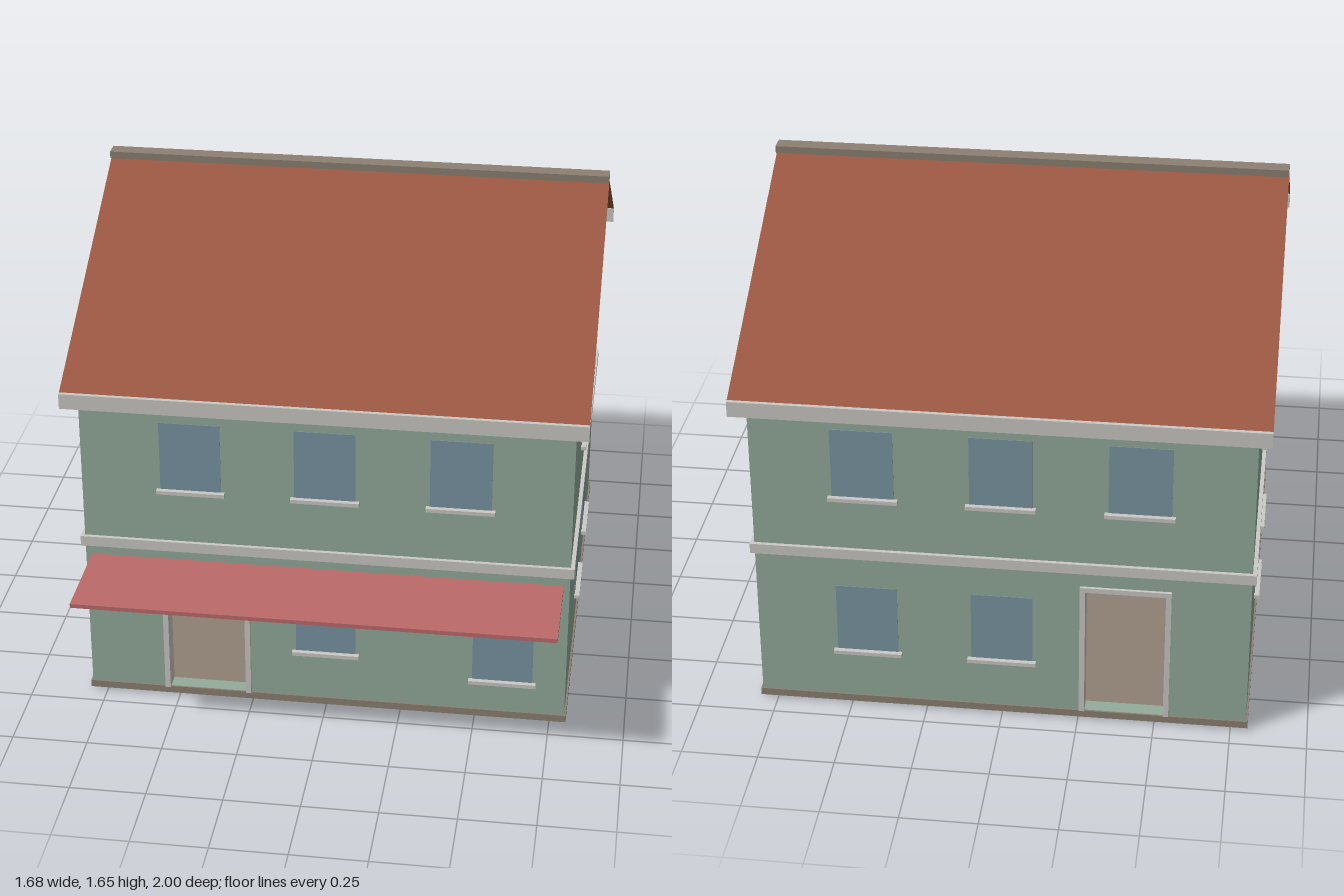
import * as THREE from 'three';

const mat = (name, color, side = THREE.FrontSide) => {
  const m = new THREE.MeshStandardMaterial({ color, side });
  m.name = name;
  return m;
};

export function createModel() {
  const wallGreen = mat('wallGreen', 0x94ac9c);
  const trimGrey = mat('trimGrey', 0xcbcac6);
  const stoneBrown = mat('stoneBrown', 0x8c8172, THREE.DoubleSide);
  const glassBlue = mat('glassBlue', 0x7b96a4);
  const roofRed = mat('roofRed', 0x9c5842, THREE.DoubleSide);
  const awningRed = mat('awningRed', 0xbd6a6a);

  const house = new THREE.Group();
  house.name = 'house';
  const W = 0.8, ZF = 0.68, ZB = -0.92, ZM = -0.12, T = 0.05;
  const BASE = 0.01, EAVE = 1.195, APEX = 1.61;

  const add = (name, geometry, material, parent = house) => {
    const mesh = new THREE.Mesh(geometry, material);
    mesh.name = name;
    parent.add(mesh);
    return mesh;
  };
  // Box given by its minimum and maximum along each axis
  const box = (name, material, [x0, x1], [y0, y1], [z0, z1], parent = house) => {
    const mesh = add(name, new THREE.BoxGeometry(x1 - x0, y1 - y0, z1 - z0), material, parent);
    mesh.position.set((x0 + x1) / 2, (y0 + y1) / 2, (z0 + z1) / 2);
    return mesh;
  };
  const polygon = (points) => new THREE.Shape(points.map(([x, y]) => new THREE.Vector2(x, y)));
  const extrude = (shape) => new THREE.ExtrudeGeometry(shape, { depth: T, bevelEnabled: false });

  // Front and back walls, each with an open doorway
  const DOOR = [-0.53, -0.27], DOOR_TOP = 0.5, PLINTH_TOP = 0.035;
  const longWall = polygon([[-W, BASE], [W, BASE], [W, EAVE], [-W, EAVE]]);
  longWall.holes.push(new THREE.Path([
    [DOOR[0], PLINTH_TOP], [DOOR[0], DOOR_TOP], [DOOR[1], DOOR_TOP], [DOOR[1], PLINTH_TOP],
  ].map(([x, y]) => new THREE.Vector2(x, y))));
  add('frontWall', extrude(longWall), wallGreen).position.z = ZF - T;
  add('backWall', extrude(longWall), wallGreen).position.z = ZB;

  // Side walls rising into gables
  const half = (ZF - ZB) / 2;
  const gable = polygon([
    [-half + T, BASE], [half - T, BASE], [half - T, EAVE], [half, EAVE],
    [0, APEX], [-half, EAVE], [-half + T, EAVE],
  ]);
  for (const [name, x] of [['leftGableWall', W - T], ['rightGableWall', -W]]) {
    const wall = add(name, extrude(gable), wallGreen);
    wall.rotation.y = Math.PI / 2;
    wall.position.set(x, 0, ZM);
  }

  // Ring of four strips around the house
  const ring = (name, material, out, y) => {
    const group = new THREE.Group();
    group.name = name;
    const x = W + out;
    box(name + 'Front', material, [-x, x], y, [ZF, ZF + out], group);
    box(name + 'Back', material, [-x, x], y, [ZB - out, ZB], group);
    box(name + 'Left', material, [W, x], y, [ZB, ZF], group);
    box(name + 'Right', material, [-x, -W], y, [ZB, ZF], group);
    house.add(group);
  };
  ring('plinth', stoneBrown, 0.006, [BASE, PLINTH_TOP]);
  ring('storeyBand', trimGrey, 0.013, [0.57, 0.605]);

  // Ground floor
  const floor = add('floor', new THREE.PlaneGeometry(2 * (W - T), 2 * (half - T)), stoneBrown);
  floor.rotation.x = -Math.PI / 2;
  floor.position.z = ZM;

  // Window: pane through the wall with a sill; local +z points outward
  const addWindow = (x, z, angle, y0, y1, w = 0.2) => {
    const group = new THREE.Group();
    group.name = 'window';
    box('pane', glassBlue, [-w / 2, w / 2], [y0, y1], [-T - 0.002, 0.002], group);
    box('sill', trimGrey, [-w / 2 - 0.012, w / 2 + 0.012], [y0 - 0.013, y0], [0, 0.018], group);
    group.position.set(x, 0, z);
    group.rotation.y = angle;
    house.add(group);
  };
  const UP = [0.798, 1.04], LOW = [0.215, 0.458];
  for (const x of [-0.44, 0, 0.44]) {
    addWindow(x, ZF, 0, ...UP);
    addWindow(x, ZB, Math.PI, ...UP);
  }
  addWindow(0, ZF, 0, ...LOW);
  addWindow(0.59, ZF, 0, 0.153, 0.498);
  for (const x of [0, 0.44]) addWindow(x, ZB, Math.PI, ...LOW);
  for (const z of [0.1, -0.34]) {
    for (const y of [UP, LOW]) {
      addWindow(W, z, Math.PI / 2, ...y);
      addWindow(-W, z, -Math.PI / 2, ...y);
    }
  }

  // Door frames
  for (const [name, z] of [['frontDoorFrame', [ZF - T, ZF + 0.013]], ['backDoorFrame', [ZB - 0.01, ZB + T]]]) {
    const group = new THREE.Group();
    group.name = name;
    box('jamb', trimGrey, [DOOR[0] - 0.017, DOOR[0] + 0.001], [PLINTH_TOP, DOOR_TOP], z, group);
    box('jamb', trimGrey, [DOOR[1] - 0.001, DOOR[1] + 0.017], [PLINTH_TOP, DOOR_TOP], z, group);
    box('lintel', trimGrey, [DOOR[0] - 0.017, DOOR[1] + 0.017], [DOOR_TOP - 0.001, DOOR_TOP + 0.016], z, group);
    house.add(group);
  }

  // Awning over the shop front
  box('awning', awningRed, [-0.78, 0.78], [0.52, 0.534], [ZF, 1.0]);

  // Thin roof slopes, eaves boards and ridge cap
  const RX = 0.842, RIDGE = 1.628, EDGE = 1.163, RUN = 0.868;
  for (const s of [1, -1]) {
    const side = s > 0 ? 'front' : 'back';
    const slope = add(side + 'Roof', new THREE.PlaneGeometry(2 * RX, Math.hypot(RUN, RIDGE - EDGE)), roofRed);
    slope.rotation.order = 'YXZ';
    slope.rotation.set(-Math.atan2(RUN, RIDGE - EDGE), s > 0 ? 0 : Math.PI, 0);
    slope.position.set(0, (RIDGE + EDGE) / 2, ZM + s * RUN / 2);
    const a = ZM + s * 0.865, b = ZM + s * 0.88;
    box(side + 'Fascia', trimGrey, [-RX, RX], [1.11, 1.162], [Math.min(a, b), Math.max(a, b)]);
  }
  box('ridgeCap', stoneBrown, [-RX, RX], [1.627, 1.651], [ZM - 0.027, ZM + 0.027]);

  return house;
}
